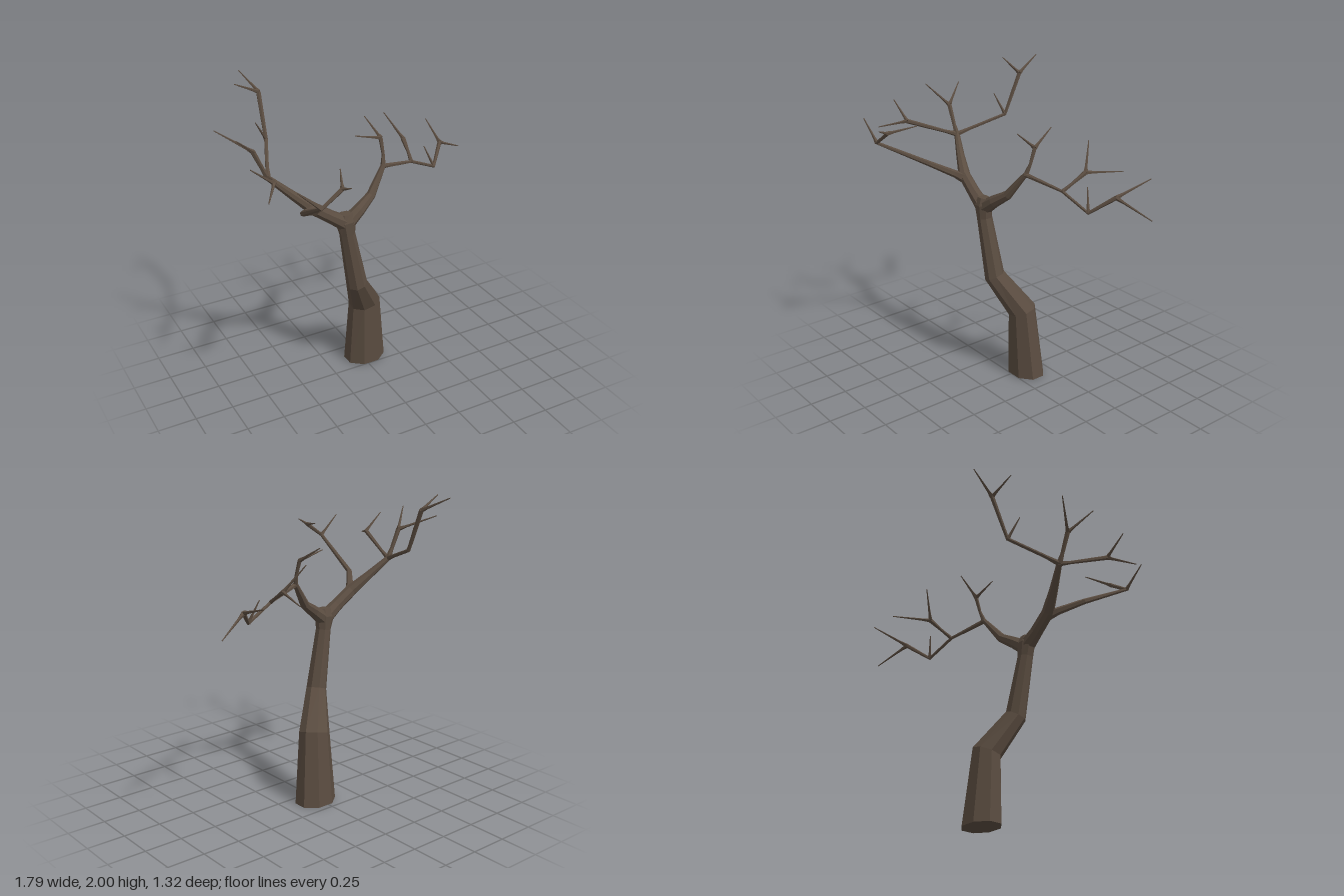
import * as THREE from 'three';

const bark = new THREE.MeshStandardMaterial({ color: 0x5a4c40, flatShading: true });

// Faceted tapering tube through points [x, y, z, radius, depthRatio], capped at both ends
function limb(name, points, sides) {
  const centres = points.map(p => new THREE.Vector3(p[0], p[1], p[2]));
  const n = centres.length, pos = [], index = [];
  const dir = i => centres[i + 1].clone().sub(centres[i]).normalize();
  const u = new THREE.Vector3(1, 0, 0);
  for (let i = 0; i < n; i++) {
    const t = new THREE.Vector3();
    if (i > 0) t.add(dir(i - 1));
    if (i < n - 1) t.add(dir(i));
    t.normalize();
    // carry the ring's frame along the path so that it does not twist
    if (i === 0 && Math.abs(t.x) > 0.85) u.set(0, 0, 1);
    u.addScaledVector(t, -u.dot(t)).normalize();
    const v = new THREE.Vector3().crossVectors(t, u);
    const [, y, , r, k = 1] = points[i];
    for (let j = 0; j < sides; j++) {
      const a = (j + 0.5) / sides * Math.PI * 2;
      const p = centres[i].clone().addScaledVector(u, r * Math.cos(a)).addScaledVector(v, r * k * Math.sin(a));
      pos.push(p.x, y === 0 ? 0 : p.y, p.z);
    }
  }
  for (let i = 0; i < n - 1; i++) {
    for (let j = 0; j < sides; j++) {
      const a = i * sides + j, b = i * sides + (j + 1) % sides;
      index.push(a, b, b + sides, a, b + sides, a + sides);
    }
  }
  const last = (n - 1) * sides;
  for (let j = 1; j < sides - 1; j++) {
    index.push(0, j + 1, j, last, last + j, last + j + 1);
  }
  const geometry = new THREE.BufferGeometry();
  geometry.setAttribute('position', new THREE.Float32BufferAttribute(pos, 3));
  geometry.setIndex(index);
  geometry.computeVertexNormals();
  const mesh = new THREE.Mesh(geometry, bark);
  mesh.name = name;
  return mesh;
}

// Twigs from a shared joint, thick in the crotch, thin along the shoot, almost a point at the tip
function twigs(group, name, joint, tips) {
  const from = new THREE.Vector3(...joint);
  tips.forEach((tip, i) => {
    const near = from.clone().lerp(new THREE.Vector3(...tip), 0.2);
    group.add(limb(name + (i + 1), [[...joint, 0.015], [near.x, near.y, near.z, 0.009], [...tip, 0.003]], 5));
  });
}

export function createModel() {
  const tree = new THREE.Group();
  tree.name = 'bareTree';

  // Bent trunk, swelling at the fork
  tree.add(limb('trunk', [
    [0.023, 0, -0.107, 0.144, 0.8], [0.01, 0.47, -0.08, 0.107, 0.85],
    [-0.115, 0.71, 0.05, 0.068], [-0.19, 1.1, 0.07, 0.05],
    [-0.2, 1.19, 0.07, 0.068, 0.8], [-0.2, 1.24, 0.07, 0.048, 0.7],
  ], 8));

  // Main limbs
  tree.add(limb('leftLimb', [
    [-0.19, 1.17, 0.07, 0.05], [-0.1, 1.235, 0.06, 0.04], [0, 1.3, 0.03, 0.03],
    [0.115, 1.455, -0.02, 0.018], [0.17, 1.445, -0.035, 0.012],
  ], 8));
  tree.add(limb('rightLimb', [
    [-0.2, 1.17, 0.07, 0.052], [-0.3, 1.24, 0.07, 0.042], [-0.42, 1.325, 0.06, 0.04],
    [-0.53, 1.42, 0.01, 0.028], [-0.65, 1.53, -0.05, 0.018],
  ], 8));

  // Slender branches
  const branches = {
    leftOuterBranch: [[0.115, 1.455, -0.02, 0.016], [0.37, 1.4, -0.1, 0.01], [0.565, 1.31, -0.135, 0.011], [0.68, 1.415, -0.25, 0.014]],
    leftUprightBranch: [[0.115, 1.45, -0.02, 0.017], [0.13, 1.52, -0.045, 0.01], [0.13, 1.62, -0.08, 0.013]],
    leftBackBranch: [[0.37, 1.4, -0.1, 0.013], [0.385, 1.44, -0.165, 0.01], [0.4, 1.495, -0.257, 0.016]],
    rightFrontBranch: [[-0.4, 1.31, 0.065, 0.038], [-0.455, 1.335, 0.11, 0.025], [-0.565, 1.405, 0.24, 0.018], [-0.615, 1.6, 0.59, 0.011], [-0.485, 1.69, 0.59, 0.013]],
    rightBackBranch: [[-0.65, 1.53, -0.05, 0.018], [-0.62, 1.56, -0.13, 0.012], [-0.523, 1.643, -0.36, 0.012], [-0.51, 1.91, -0.473, 0.015]],
    rightOuterBranch: [[-0.65, 1.53, -0.05, 0.02], [-0.68, 1.59, -0.05, 0.013], [-0.735, 1.715, -0.053, 0.016]],
    rightMiddleBranch: [[-0.65, 1.53, -0.05, 0.018], [-0.67, 1.56, 0.03, 0.011], [-0.75, 1.655, 0.275, 0.015]],
  };
  for (const [name, path] of Object.entries(branches)) tree.add(limb(name, path, 6));

  // Twigs at the joints and branch ends
  twigs(tree, 'leftOuterTwig', [0.68, 1.415, -0.25], [[0.72, 1.49, -0.497], [0.895, 1.31, -0.34]]);
  twigs(tree, 'leftLowTwig', [0.565, 1.31, -0.135], [[0.51, 1.45, -0.175]]);
  twigs(tree, 'leftUprightTwig', [0.13, 1.62, -0.08], [[-0.048, 1.665, -0.085], [0.1, 1.715, -0.235]]);
  twigs(tree, 'leftBackTwig', [0.4, 1.495, -0.257], [[0.31, 1.66, -0.36], [0.475, 1.47, -0.508]]);
  twigs(tree, 'rightFrontTwig', [-0.485, 1.69, 0.59], [[-0.41, 1.725, 0.42], [-0.465, 1.72, 0.66]]);
  twigs(tree, 'rightFrontSideTwig', [-0.615, 1.6, 0.59], [[-0.755, 1.73, 0.595]]);
  twigs(tree, 'rightBackTwig', [-0.51, 1.91, -0.473], [[-0.56, 2, -0.658], [-0.67, 1.99, -0.455]]);
  twigs(tree, 'rightBackLowTwig', [-0.523, 1.643, -0.36], [[-0.6, 1.775, -0.326]]);
  twigs(tree, 'rightOuterTwig', [-0.735, 1.715, -0.053], [[-0.895, 1.81, -0.245], [-0.87, 1.845, 0.043]]);
  twigs(tree, 'rightMiddleTwig', [-0.75, 1.655, 0.275], [[-0.89, 1.77, 0.283], [-0.853, 1.62, 0.433]]);

  return tree;
}
